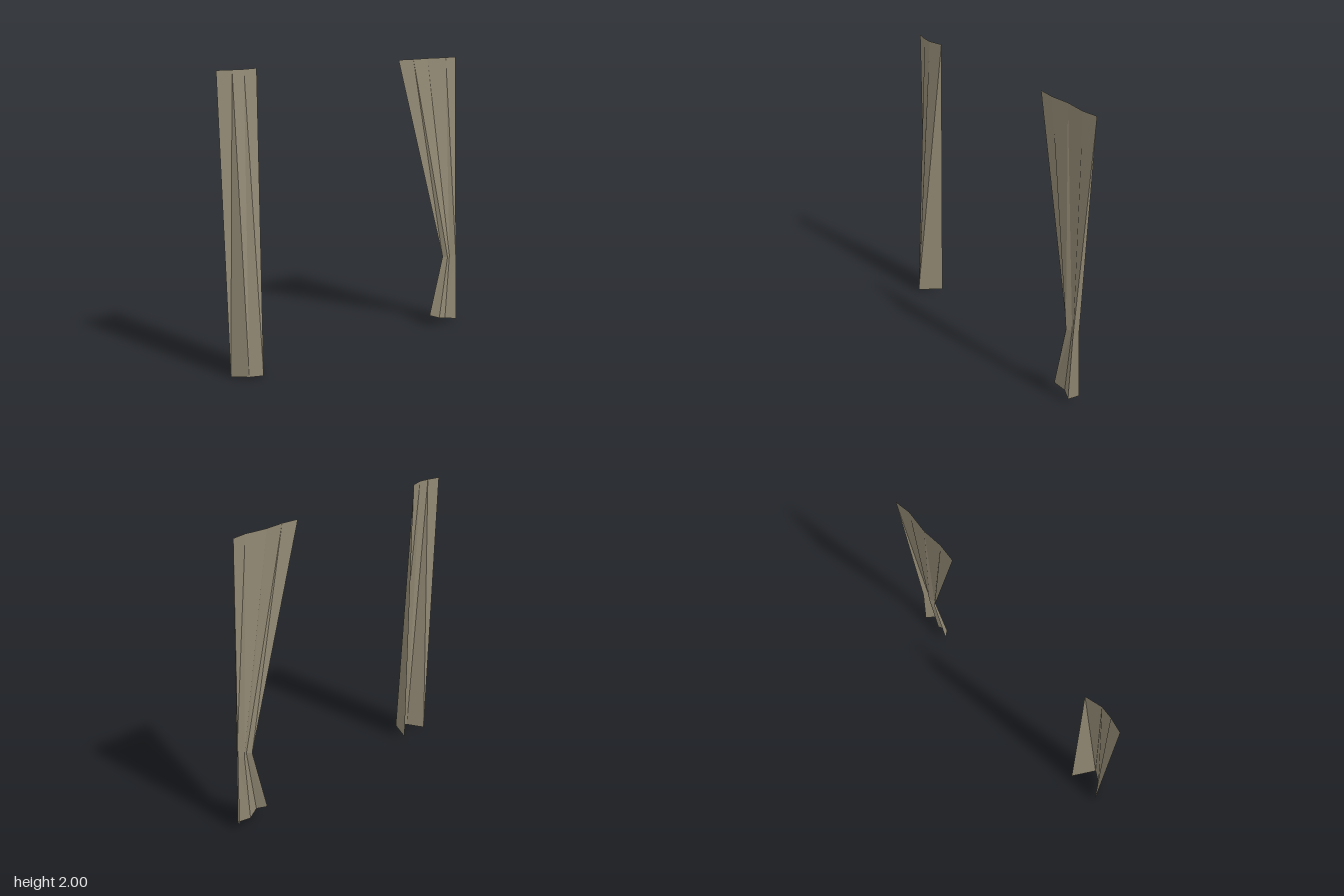
import * as THREE from 'three';

// Cloth sheet lofted through rows of fold points, listed top to bottom
function cloth(name, rows, material) {
  const cols = rows[0].length;
  const index = [];
  for (let r = 0; r < rows.length - 1; r++) {
    for (let c = 0; c < cols - 1; c++) {
      const a = r * cols + c;
      const b = a + cols;
      index.push(a, b, a + 1, a + 1, b, b + 1);
    }
  }
  const geometry = new THREE.BufferGeometry();
  geometry.setAttribute('position', new THREE.Float32BufferAttribute(rows.flat(2), 3));
  geometry.setIndex(index);
  geometry.computeVertexNormals();
  const mesh = new THREE.Mesh(geometry, material);
  mesh.name = name;
  return mesh;
}

export function createModel() {
  const fabric = new THREE.MeshStandardMaterial({ color: 0x938a75, side: THREE.DoubleSide, flatShading: true });
  fabric.name = 'taupe fabric';

  const group = new THREE.Group();
  group.name = 'curtains';

  // Straight hanging curtain, its folds deepening toward the hem
  group.add(cloth('straightCurtain', [
    [[-1, 2, -0.095], [-0.9, 2, -0.073], [-0.82, 2, -0.066], [-0.71, 2, -0.095]],
    [[-0.975, 0.005, -0.065], [-0.9, 0.02, 0.045], [-0.82, 0.026, 0.092], [-0.727, 0.022, -0.068]],
  ], fabric));

  // Gathered curtain: wide top, pinched tie, flared hem
  const top = [[0.445, 2, -0.097], [0.57, 2, -0.085], [0.71, 2, -0.097], [0.87, 2, -0.081], [0.98, 2, -0.097]];
  const tie = [[0.845, 0.525, -0.045], [0.873, 0.525, -0.02], [0.91, 0.525, -0.04], [0.952, 0.525, -0.015], [0.97, 0.525, -0.048]];
  const hem = [[0.74, 0.08, -0.06], [0.79, 0.065, -0.006], [0.87, 0.04, -0.032], [0.952, 0.032, 0.004], [0.99, 0.058, -0.058]];
  group.add(cloth('gatheredCurtainUpper', [top, tie], fabric));
  group.add(cloth('gatheredCurtainLower', [tie, hem], fabric));

  return group;
}
